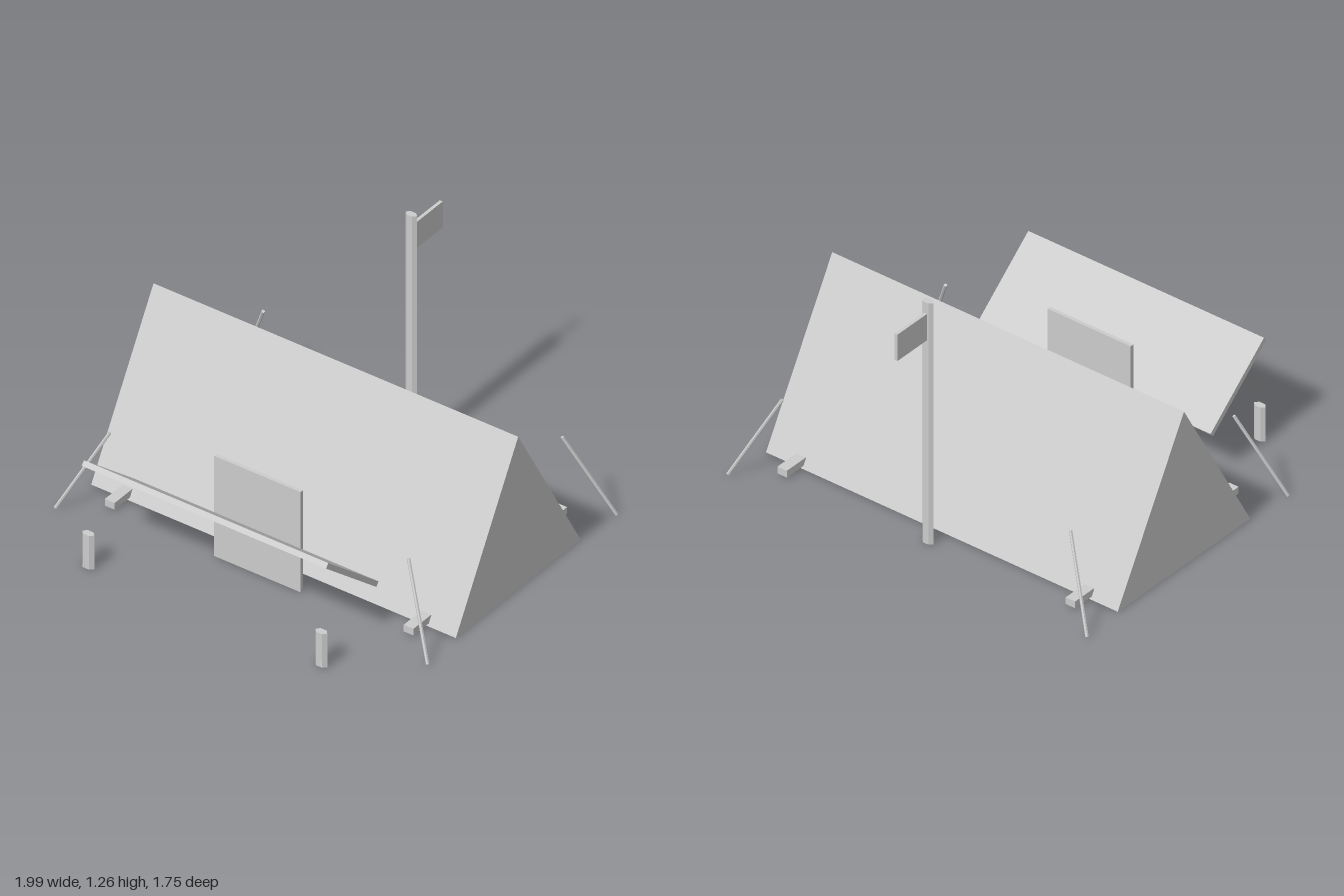
import * as THREE from 'three';

export function createModel() {
  const model = new THREE.Group();
  model.name = 'tent';
  const canvasGrey = new THREE.MeshStandardMaterial({ color: 0xcccccc, flatShading: true });
  canvasGrey.name = 'canvasGrey';

  const add = (name, geometry, x = 0, y = 0, z = 0) => {
    const mesh = new THREE.Mesh(geometry, canvasGrey);
    mesh.name = name;
    mesh.position.set(x, y, z);
    model.add(mesh);
    return mesh;
  };
  const box = (name, w, h, d, x, y, z) => add(name, new THREE.BoxGeometry(w, h, d), x, y, z);

  // Upright six-sided post, narrower front to back, standing on the ground
  const post = (name, radius, height, x, z) => {
    const g = new THREE.CylinderGeometry(radius, radius, height, 6);
    g.rotateY(Math.PI / 2).scale(1, 1, 0.6);
    return add(name, g, x, height / 2, z);
  };

  // Thin rod between two points
  const rod = (name, a, b, radius) => {
    const from = new THREE.Vector3(...a);
    const dir = new THREE.Vector3(...b).sub(from);
    const mesh = add(name, new THREE.CylinderGeometry(radius, radius, dir.length(), 6));
    mesh.position.copy(from).addScaledVector(dir, 0.5);
    mesh.quaternion.setFromUnitVectors(new THREE.Vector3(0, 1, 0), dir.normalize());
    return mesh;
  };

  // Tent body: triangular prism along x
  const section = new THREE.Shape();
  section.moveTo(-0.56, 0);
  section.lineTo(0.35, 0);
  section.lineTo(-0.105, 0.8);
  section.closePath();
  const body = new THREE.ExtrudeGeometry(section, { depth: 1.94, bevelEnabled: false });
  body.translate(0, 0, -0.97).rotateY(-Math.PI / 2);
  add('tentBody', body);

  // Door panel and raised awning
  box('doorPanel', 0.46, 0.527, 0.018, 0, 0.2635, 0.459);
  const awning = box('awning', 1.3, 0.026, 0.478, 0, 0.38, 0.667);
  awning.rotation.x = -0.695;

  for (const [side, s] of [['left', 1], ['right', -1]]) {
    // Short awning posts with a cord against each
    post(`${side}AwningPost`, 0.032, 0.177, s * 0.62, 0.851);
    rod(`${side}AwningCord`, [s * 0.61, 0.17, 0.843], [s * 0.634, 0.003, 0.864], 0.008);

    // Pegs and guy lines at the four corners
    box(`${side}FrontPeg`, 0.052, 0.035, 0.13, s * 0.795, 0.029, 0.39);
    box(`${side}BackPeg`, 0.052, 0.035, 0.13, s * 0.795, 0.029, -0.602);
    rod(`${side}FrontGuyLine`, [s * 0.795, 0.405, 0.455], [s * 0.99, 0.004, 0.584], 0.008);
    rod(`${side}BackGuyLine`, [s * 0.795, 0.405, -0.666], [s * 0.99, 0.004, -0.796], 0.008);
  }

  // Flagpole behind the tent
  post('flagpole', 0.03, 1.255, 0, -0.656);
  box('flag', 0.016, 0.137, 0.207, 0, 1.13, -0.771);

  return model;
}
